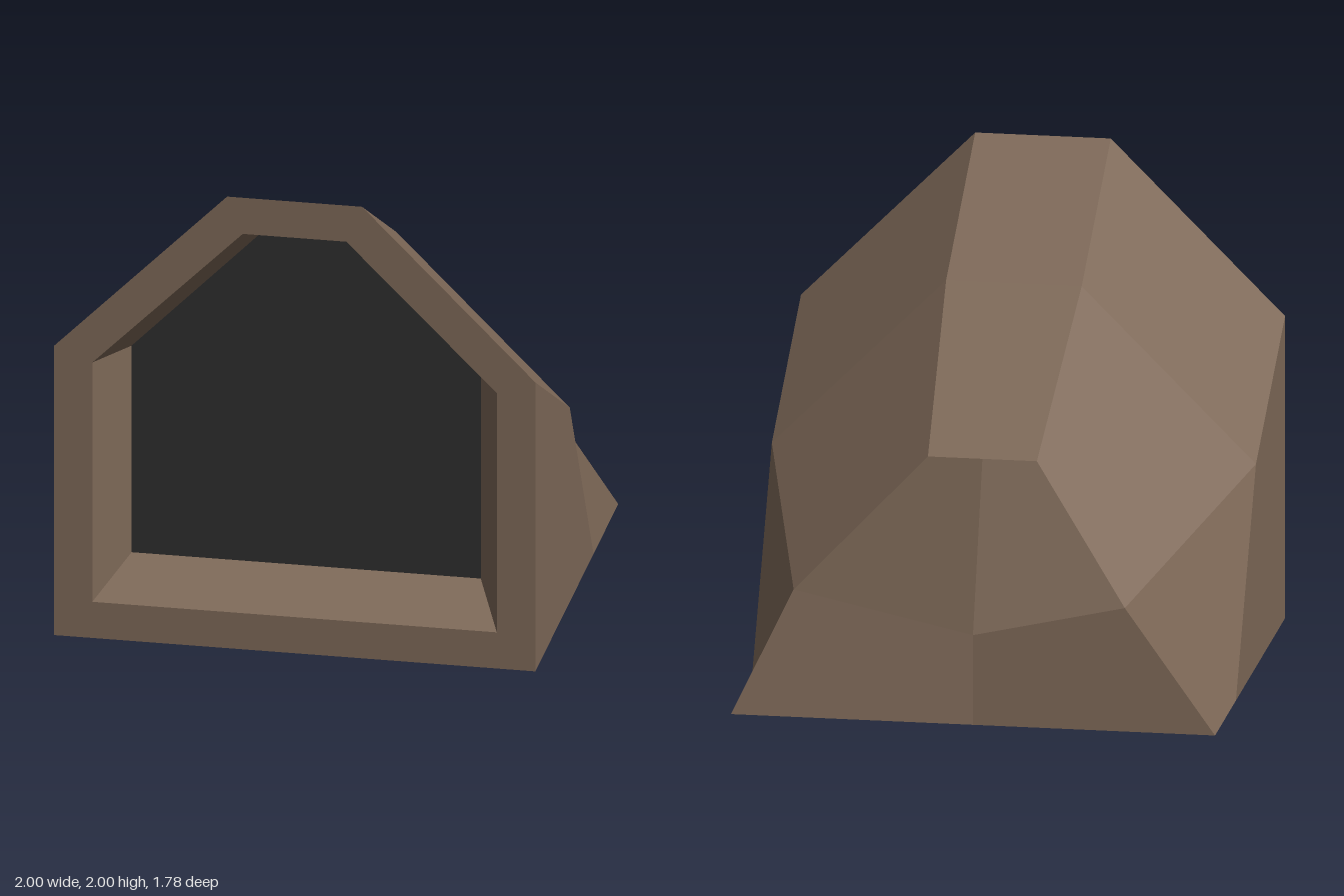
import * as THREE from 'three';

// Flat-shaded polygons: each is a fan sharing one averaged normal
function facets(polygons) {
  const pos = [], nor = [];
  for (const poly of polygons) {
    const p = poly.map((c) => new THREE.Vector3(...c));
    const n = new THREE.Vector3();
    for (let i = 1; i < p.length - 1; i++) {
      n.add(p[i].clone().sub(p[0]).cross(p[i + 1].clone().sub(p[0])));
    }
    n.normalize();
    for (let i = 1; i < p.length - 1; i++) {
      for (const v of [p[0], p[i], p[i + 1]]) {
        pos.push(v.x, v.y, v.z);
        nor.push(n.x, n.y, n.z);
      }
    }
  }
  const g = new THREE.BufferGeometry();
  g.setAttribute('position', new THREE.Float32BufferAttribute(pos, 3));
  g.setAttribute('normal', new THREE.Float32BufferAttribute(nor, 3));
  return g;
}

// Six-sided arch outline, counter-clockwise from the front
function arch(halfWidth, bottom, shoulder, halfTop, top) {
  return [
    [-halfWidth, bottom], [halfWidth, bottom], [halfWidth, shoulder],
    [halfTop, top], [-halfTop, top], [-halfWidth, shoulder],
  ];
}
const toVectors = (pts) => pts.map(([x, y]) => new THREE.Vector2(x, y));

const FRONT = 0.89, MID = 0.15, BACK = -0.89, RECESS = 0.64;

// One half of the rock on +x; "flank" is the uneven rear corner point
function halfShell(flank) {
  const foot = [1, 0, FRONT], shoulder = [1, 1.28, FRONT], crown = [0.28, 2, FRONT];
  const midShoulder = [1, 0.86, MID], midCrown = [0.28, 1.58, MID];
  const sideBase = [1, 0, -0.36], corner = [1, 0, BACK];
  const rearCrown = [0.225, 1.06, -0.65];
  const topFront = [0, 2, FRONT], topMid = [0, 1.58, MID], topRear = [0, 1.06, -0.65];
  const backMid = [0, 0.38, BACK], backBase = [0, 0, BACK];
  return [
    [topFront, crown, midCrown, topMid],
    [topMid, midCrown, rearCrown, topRear],
    [shoulder, midShoulder, midCrown, crown],
    [midShoulder, flank, rearCrown, midCrown],
    [shoulder, foot, sideBase, midShoulder],
    [sideBase, corner, flank, midShoulder],
    [rearCrown, flank, backMid, topRear],
    [flank, corner, backBase, backMid],
    [backBase, corner, foot, [0, 0, FRONT]],
  ];
}

// Mirror polygons across x, keeping them facing outwards
function mirror(polygons) {
  return polygons.map(([first, ...rest]) =>
    [first, ...rest.reverse()].map(([x, y, z]) => [-x, y, z]));
}

export function createModel() {
  const group = new THREE.Group();
  const rock = new THREE.MeshStandardMaterial({ color: 0x7d6857 });
  rock.name = 'brown rock';
  const dark = new THREE.MeshStandardMaterial({ color: 0x2e2e2e });
  dark.name = 'dark interior';

  const add = (name, geometry, material, z = 0) => {
    const mesh = new THREE.Mesh(geometry, material);
    mesh.name = name;
    mesh.position.z = z;
    group.add(mesh);
  };

  const outline = arch(1, 0, 1.28, 0.28, 2);
  const opening = arch(0.84, 0.16, 1.22, 0.215, 1.84);
  const inner = arch(0.725, 0.285, 1.2, 0.19, 1.74);

  // Faceted outer rock, with differing rear corners
  add('leftRockShell', facets(halfShell([0.775, 0.48, -0.68])), rock);
  add('rightRockShell', facets(mirror(halfShell([0.62, 0.51, -0.845]))), rock);

  // Front rim around the opening
  const rim = new THREE.Shape(toVectors(outline));
  rim.holes.push(new THREE.Path(toVectors(opening)));
  add('entranceRim', new THREE.ShapeGeometry(rim), rock, FRONT);

  // Tapered walls leading inwards
  const walls = opening.map((p, i) => {
    const j = (i + 1) % opening.length;
    return [
      [...p, FRONT], [...opening[j], FRONT], [...inner[j], RECESS], [...inner[i], RECESS],
    ];
  });
  add('entranceWalls', facets(walls), rock);

  // Dark back of the recess
  add('darkInterior', new THREE.ShapeGeometry(new THREE.Shape(toVectors(inner))), dark, RECESS);

  return group;
}
